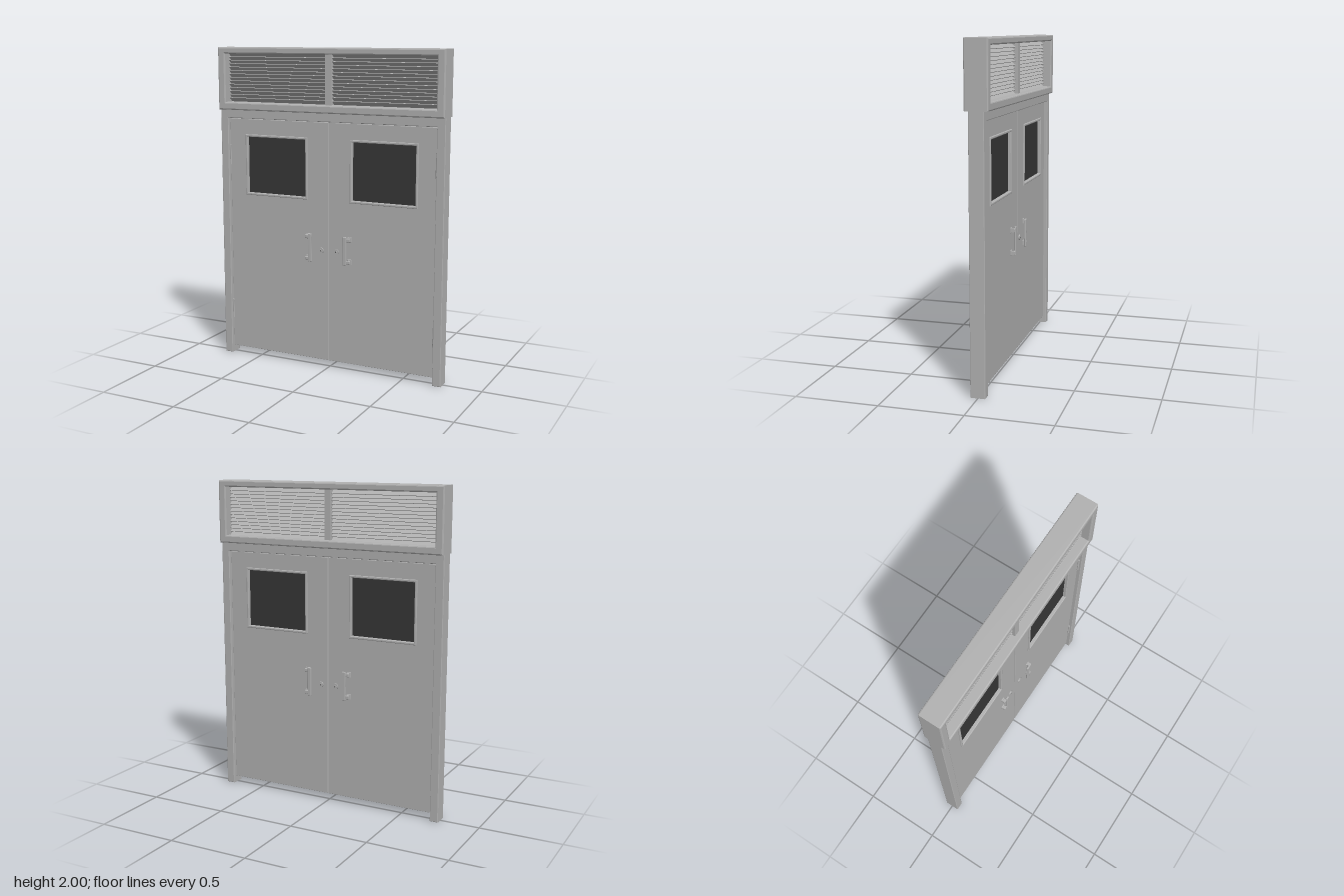
import * as THREE from 'three';
import { RoundedBoxGeometry } from 'three/addons/geometries/RoundedBoxGeometry.js';

export function createModel() {
  const root = new THREE.Group();
  root.name = 'doubleDoor';

  const material = (name, color) => {
    const m = new THREE.MeshStandardMaterial({ color });
    m.name = name;
    return m;
  };
  const grey = material('paintedGrey', 0xb2b2b2);
  const dark = material('darkGlass', 0x373737);

  const add = (parent, name, geometry, mat, x = 0, y = 0, z = 0) => {
    const mesh = new THREE.Mesh(geometry, mat);
    mesh.name = name;
    mesh.position.set(x, y, z);
    parent.add(mesh);
    return mesh;
  };
  const box = (w, h, d) => new THREE.BoxGeometry(w, h, d);
  const group = (name) => {
    const g = new THREE.Group();
    g.name = name;
    root.add(g);
    return g;
  };

  const polygon = (points, Type = THREE.Shape) => new Type(points.map((p) => new THREE.Vector2(...p)));
  const rect = (x0, y0, x1, y1, Type) => polygon([[x0, y0], [x1, y0], [x1, y1], [x0, y1]], Type);

  // Panel of the given depth centred on z = 0, with bevels cut inside its outline
  const panel = (shape, depth, bevel) => {
    const g = new THREE.ExtrudeGeometry(shape, {
      depth: depth - 2 * bevel, bevelEnabled: bevel > 0, bevelThickness: bevel,
      bevelSize: bevel, bevelOffset: -bevel, bevelSegments: 2,
    });
    g.translate(0, 0, bevel - depth / 2);
    return g;
  };

  // Door frame: two jambs and a header
  add(root, 'doorFrame', panel(polygon([
    [-0.755, 0], [-0.702, 0], [-0.702, 1.557], [0.702, 1.557],
    [0.702, 0], [0.755, 0], [0.755, 1.615], [-0.755, 1.615],
  ]), 0.09, 0.004), grey);

  // Transom with a louvred opening on each side of the mullion
  const transom = group('transom');
  const surround = rect(-0.755, 1.61, 0.755, 2);
  surround.holes.push(rect(-0.705, 1.658, 0.705, 1.96, THREE.Path));
  add(transom, 'transomFrame', panel(surround, 0.14, 0.008), grey);
  add(transom, 'mullion', box(0.04, 0.31, 0.07), grey, 0, 1.809, 0);
  const slatCount = 14;
  for (const side of [-1, 1]) {
    for (let i = 0; i < slatCount; i++) {
      const y = 1.67 + (i * 0.278) / (slatCount - 1);
      const slat = add(transom, 'louvreSlat', box(0.69, 0.004, 0.042), grey, side * 0.362, y, 0);
      slat.rotation.x = -0.7; // high at the front, low at the back
    }
  }

  // Door leaves
  const X0 = 0.15, X1 = 0.58, Y0 = 1.075, Y1 = 1.45;
  for (const side of [-1, 1]) {
    const door = group(side > 0 ? 'leftDoor' : 'rightDoor');
    const span = (a, b) => [Math.min(side * a, side * b), Math.max(side * a, side * b)];
    const [d0, d1] = span(0.003, 0.7);
    const [w0, w1] = span(X0, X1);
    const cx = (w0 + w1) / 2, cy = (Y0 + Y1) / 2;

    const leaf = rect(d0, 0.045, d1, 1.553);
    leaf.holes.push(rect(w0, Y0, w1, Y1, THREE.Path));
    add(door, 'doorLeaf', panel(leaf, 0.046, 0.002), grey);

    // Window with a raised trim through the leaf
    const trim = rect(w0 - 0.006, Y0 - 0.006, w1 + 0.006, Y1 + 0.006);
    trim.holes.push(rect(w0 + 0.009, Y0 + 0.009, w1 - 0.009, Y1 - 0.009, THREE.Path));
    add(door, 'windowTrim', panel(trim, 0.062, 0.004), grey);
    add(door, 'windowGlass', box(X1 - X0 - 0.01, Y1 - Y0 - 0.01, 0.02), dark, cx, cy, 0);

    // Pull handle and lock on both faces
    for (const face of [-1, 1]) {
      const bar = new RoundedBoxGeometry(0.024, 0.18, 0.012, 2, 0.004);
      add(door, 'handleBar', bar, grey, side * 0.12, 0.77, face * 0.046);
      for (const y of [0.7, 0.84]) {
        add(door, 'handleArm', new RoundedBoxGeometry(0.042, 0.022, 0.012, 2, 0.004), grey,
          side * 0.133, y, face * 0.043);
        add(door, 'handlePost', box(0.02, 0.022, 0.026), grey, side * 0.145, y, face * 0.033);
        add(door, 'handleBase', new RoundedBoxGeometry(0.028, 0.034, 0.008, 2, 0.003), grey,
          side * 0.143, y, face * 0.025);
      }
      const lock = add(door, 'lockCylinder', new THREE.CylinderGeometry(0.018, 0.018, 0.008, 20),
        grey, side * 0.052, 0.755, face * 0.026);
      lock.rotation.x = Math.PI / 2;
      const core = add(door, 'lockCore', new THREE.CylinderGeometry(0.009, 0.009, 0.012, 16),
        grey, side * 0.052, 0.755, face * 0.027);
      core.rotation.x = Math.PI / 2;
      add(door, 'keySlot', box(0.003, 0.01, 0.002), dark, side * 0.052, 0.755, face * 0.033);
    }

    // Hinges on the outer edge
    for (const y of [0.3, 1.32]) {
      add(door, 'hinge', new THREE.CylinderGeometry(0.006, 0.006, 0.125, 12), grey, side * 0.699, y, 0.026);
    }
  }

  // Recessed strip closing the gap between the leaves
  add(root, 'meetingStrip', box(0.01, 1.506, 0.02), grey, 0, 0.799, 0);

  return root;
}
